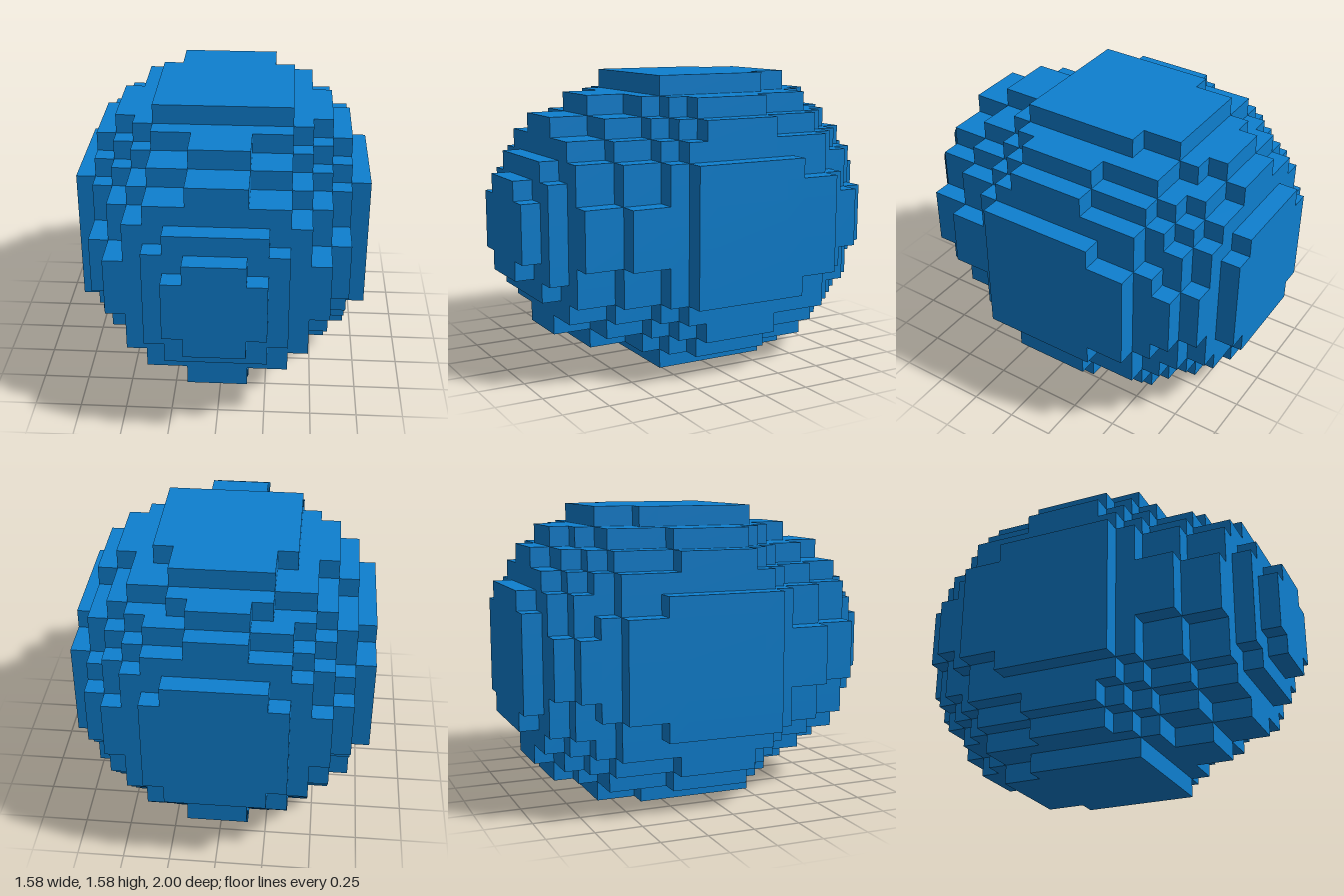
import * as THREE from 'three';

const UNIT = 2 / 19; // edge of one block
const CENTRE = 7.5;  // height of the long axis, in blocks

// Slices along the long axis, back to front: [squared disc radius, thickness in blocks]
const SLICES = [
  [13, 1], [26, 1], [37, 1], [41, 1], [53, 2], [58, 1], [61, 4],
  [58, 1], [45, 1], [37, 2], [26, 2], [13, 1], [5, 1],
];

// Stepped outline of all blocks whose centre lies in the disc
function discShape(r2) {
  const n = Math.floor(Math.sqrt(r2));
  const points = [];
  const add = (x, y) => {
    const last = points[points.length - 1];
    if (!last || last.x !== x || last.y !== y) points.push(new THREE.Vector2(x, y));
  };
  const half = (j) => Math.floor(Math.sqrt(r2 - j * j)) + 0.5;
  for (let j = -n; j <= n; j++) { // right side, going up
    add(half(j), j - 0.5);
    add(half(j), j + 0.5);
  }
  for (let j = n; j >= -n; j--) { // left side, going down
    add(-half(j), j + 0.5);
    add(-half(j), j - 0.5);
  }
  return new THREE.Shape(points);
}

export function createModel() {
  const group = new THREE.Group();
  group.name = 'blockEgg';
  const blue = new THREE.MeshStandardMaterial({ color: 0x0e7fcf });
  blue.name = 'blue';

  let z = -9.5;
  SLICES.forEach(([r2, depth], i) => {
    const geometry = new THREE.ExtrudeGeometry(discShape(r2), { depth, bevelEnabled: false });
    geometry.translate(0, CENTRE, z);
    geometry.scale(UNIT, UNIT, UNIT);
    const slice = new THREE.Mesh(geometry, blue);
    slice.name = `eggSlice${i + 1}`;
    group.add(slice);
    z += depth;
  });
  return group;
}
